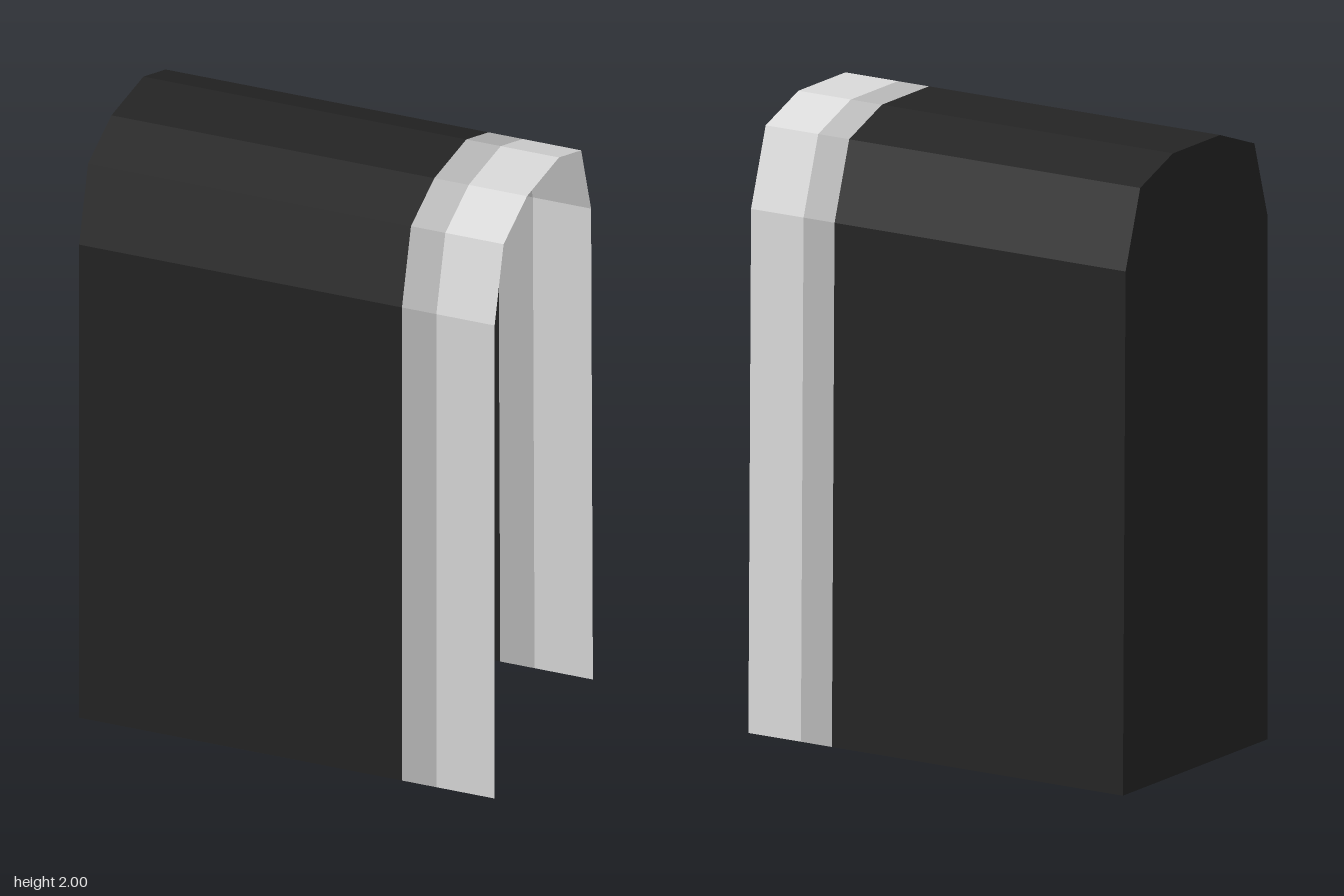
import * as THREE from 'three';

// Arch cross-section as [z, y], from the front foot over the top to the back foot
const ARCH = [
  [0.41, 0], [0.41, 1.68], [0.335, 1.93], [0.14, 2],
  [-0.127, 2], [-0.312, 1.93], [-0.395, 1.68], [-0.41, 0],
];

const material = (name, color) => {
  const m = new THREE.MeshStandardMaterial({ color, flatShading: true, side: THREE.DoubleSide });
  m.name = name;
  return m;
};

// Thin open band following the arch between two x positions
function archBand(name, x0, x1, mat) {
  const pos = [];
  for (let i = 0; i < ARCH.length - 1; i++) {
    const [za, ya] = ARCH[i];
    const [zb, yb] = ARCH[i + 1];
    pos.push(x0, ya, za, x1, ya, za, x1, yb, zb);
    pos.push(x0, ya, za, x1, yb, zb, x0, yb, zb);
  }
  const geo = new THREE.BufferGeometry();
  geo.setAttribute('position', new THREE.Float32BufferAttribute(pos, 3));
  geo.computeVertexNormals();
  const mesh = new THREE.Mesh(geo, mat);
  mesh.name = name;
  return mesh;
}

export function createModel() {
  const group = new THREE.Group();
  group.name = 'archedCover';
  const black = material('black', 0x242424);
  const midGrey = material('midGrey', 0xb8b8b8);
  const lightGrey = material('lightGrey', 0xdadada);

  // Shell, open underneath and at the +x end
  group.add(
    archBand('coverBody', -0.695, 0.385, black),
    archBand('innerTrimBand', 0.385, 0.5, midGrey),
    archBand('outerTrimBand', 0.5, 0.695, lightGrey),
  );

  // Closed end wall, turned so that its outside faces -x
  const outline = new THREE.Shape(ARCH.map(([z, y]) => new THREE.Vector2(z, y)));
  const endWall = new THREE.Mesh(new THREE.ShapeGeometry(outline).rotateY(-Math.PI / 2), black);
  endWall.name = 'endWall';
  endWall.position.x = -0.695;
  group.add(endWall);

  return group;
}
